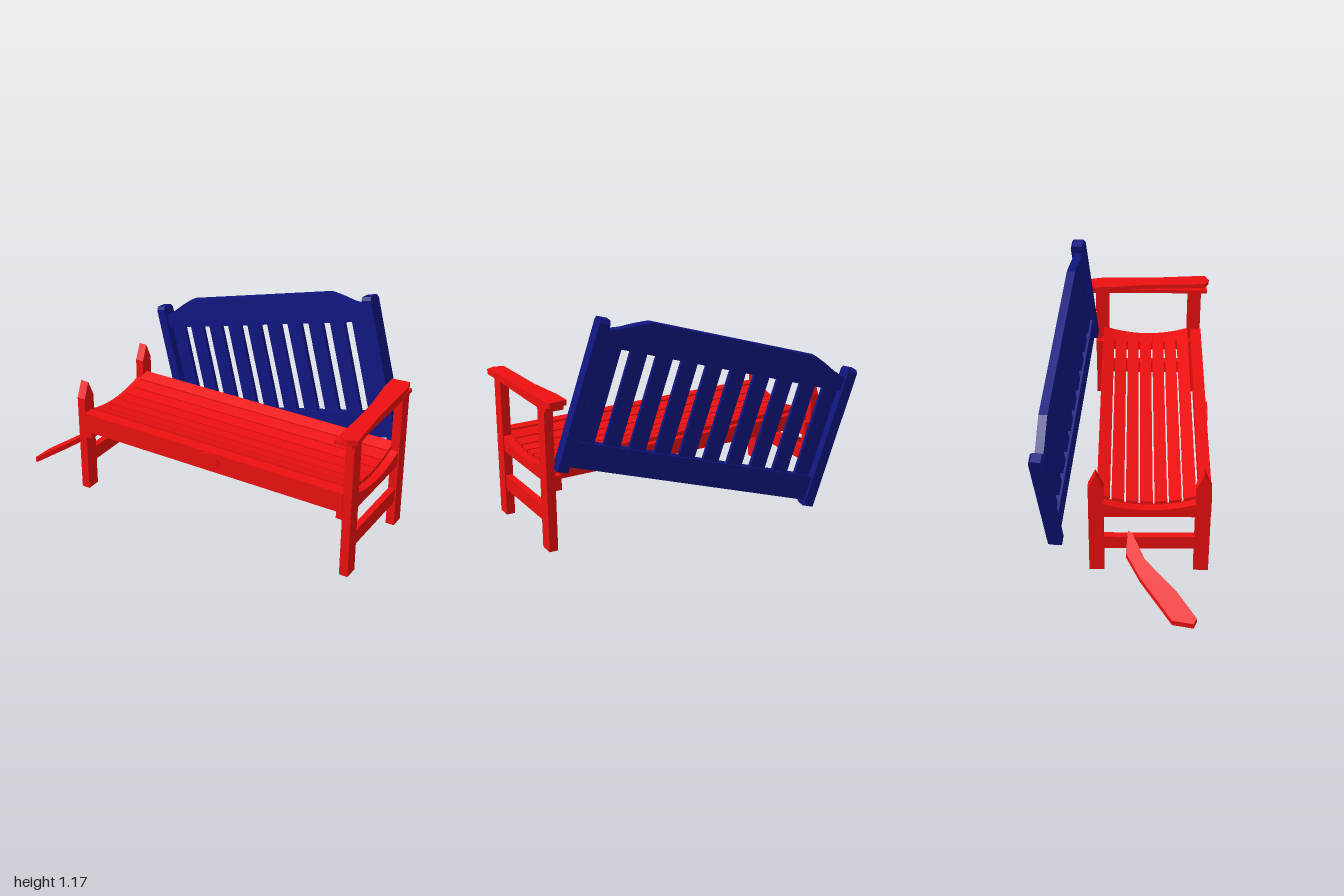
import * as THREE from 'three';

const red = new THREE.MeshStandardMaterial({ color: 0xee1010 });
const blue = new THREE.MeshStandardMaterial({ color: 0x10157f });

function add(parent, name, geometry, material) {
  const mesh = new THREE.Mesh(geometry, material);
  mesh.name = name;
  parent.add(mesh);
  return mesh;
}

// Box given by its two extremes on each axis
function box(parent, name, [x0, x1], [y0, y1], [z0, z1], material = red) {
  const g = new THREE.BoxGeometry(x1 - x0, y1 - y0, z1 - z0);
  g.translate((x0 + x1) / 2, (y0 + y1) / 2, (z0 + z1) / 2);
  return add(parent, name, g, material);
}

function extrude(points, depth) {
  const shape = new THREE.Shape(points.map(([a, b]) => new THREE.Vector2(a, b)));
  return new THREE.ExtrudeGeometry(shape, { depth, bevelEnabled: false });
}

// Outline in (z, y), extruded along x from x0 to x1
function sideProfile(points, x0, x1) {
  const g = extrude(points.map(([z, y]) => [-z, y]), x1 - x0);
  return g.rotateY(Math.PI / 2).translate(x0, 0, 0);
}

// Outline in (x, z), extruded up from y0 to y1
function plank(points, y0, y1) {
  const g = extrude(points.map(([x, z]) => [x, -z]), y1 - y0);
  return g.rotateX(-Math.PI / 2).translate(0, y0, 0);
}

// Dished top of the seat
const seatTop = (z) => 0.43 + 0.037 * ((z - 0.125) / 0.225) ** 2;

function buildSeat() {
  const seat = new THREE.Group();
  seat.name = 'seat';
  for (let i = 0; i < 7; i++) {
    const z0 = -0.132 + i * 0.0705, z1 = z0 + 0.062;
    const y0 = seatTop(z0), y1 = seatTop(z1);
    add(seat, 'seatSlat', sideProfile(
      [[z0, y0], [z1, y1], [z1, y1 - 0.02], [z0, y0 - 0.02]], -0.565, 0.925), red);
  }
  box(seat, 'frontApron', [-0.565, 0.925], [0.365, 0.47], [0.37, 0.43]);
  box(seat, 'backApron', [-0.565, 0.925], [0.365, 0.445], [-0.135, -0.1]);

  // Oval plate on the apron
  const plate = new THREE.CylinderGeometry(1, 1, 0.01, 24).rotateX(Math.PI / 2);
  plate.scale(0.065, 0.045, 1).translate(0.185, 0.42, 0.433);
  add(seat, 'ovalPlate', plate, red);
  return seat;
}

function buildEnd(name, x0, x1, railX, bracketX, broken) {
  const end = new THREE.Group();
  end.name = name;
  for (const [z0, z1] of [[0.35, 0.425], [-0.175, -0.1]]) {
    const zm = (z0 + z1) / 2;
    if (broken) { // snapped to a point
      add(end, 'brokenLeg', sideProfile(
        [[z0, 0.015], [z1, 0.015], [z1, 0.55], [zm, 0.635], [z0, 0.55]], x0, x1), red);
    } else {
      box(end, 'leg', [x0, x1], [0.015, 0.738], [z0, z1]);
    }
    box(end, 'bracket', bracketX, [0.325, 0.4], [z0, z1]);
  }
  box(end, 'stretcher', [x0 + 0.006, x1 - 0.006], [0.155, 0.232], [-0.1, 0.35]);

  // Rail with a dished top under the slats
  const top = [];
  for (let i = 0; i <= 12; i++) {
    const z = -0.1 + 0.45 * i / 12;
    top.push([z, seatTop(z) - 0.021]);
  }
  add(end, 'sideRail', sideProfile([[0.35, 0.365], [-0.1, 0.365], ...top], ...railX), red);
  return end;
}

function buildBackrest() {
  const back = new THREE.Group();
  back.name = 'backrest';
  const W = 1.39;

  // Stiles with chamfered tops and bottoms
  const d = 0.037, c = 0.012;
  for (const u of [0, W]) {
    add(back, 'stile', sideProfile([
      [-d, 0.005], [-d + c, 0], [d - c, 0], [d, 0.005],
      [d, 0.745], [d - c, 0.762], [-d + c, 0.762], [-d, 0.745],
    ], u - 0.027, u + 0.027), blue);
  }

  // Shaped crest rail, mirrored about the middle
  const left = [[0.02, 0.637], [0.02, 0.71], [0.1, 0.735], [0.165, 0.765], [0.23, 0.79]];
  const right = left.map(([u, v]) => [W - u, v]).reverse();
  add(back, 'crestRail', extrude([...left, ...right], 0.044).translate(0, 0, -0.022), blue);
  box(back, 'bottomRail', [0.02, W - 0.02], [0.03, 0.16], [-0.022, 0.022], blue);
  for (let i = 0; i < 10; i++) {
    const u = W / 2 + (i - 4.5) * 0.136;
    box(back, 'backSlat', [u - 0.043, u + 0.043], [0.15, 0.65], [-0.01, 0.01], blue);
  }

  // Detached and tilted behind the seat
  const U = new THREE.Vector3(1.32, 0.41, 0.155).normalize();
  const V = new THREE.Vector3(-0.195, 0.72, -0.055);
  V.addScaledVector(U, -V.dot(U)).normalize();
  const N = new THREE.Vector3().crossVectors(U, V);
  back.quaternion.setFromRotationMatrix(new THREE.Matrix4().makeBasis(U, V, N));
  back.position.set(-0.41, 0.026, -0.355);
  return back;
}

function buildArmrests(root) {
  add(root, 'armrest', plank([
    [0.865, -0.2], [0.955, -0.21], [0.97, -0.15], [0.977, 0.19], [0.997, 0.445],
    [0.95, 0.468], [0.905, 0.445], [0.893, 0.1], [0.867, -0.1],
  ], 0.755, 0.782), red);
  box(root, 'armrestSupport', [0.88, 0.972], [0.736, 0.756], [-0.2, 0.455]);

  // Fallen armrest, sloping down to the ground
  const g = plank([
    [-0.59, 0.02], [-0.69, 0.01], [-0.8, 0.08], [-0.985, 0.235], [-1, 0.34],
    [-0.975, 0.355], [-0.855, 0.255], [-0.72, 0.105], [-0.6, 0.04],
  ], 0.23, 0.26);
  const p = g.attributes.position;
  for (let i = 0; i < p.count; i++) p.setY(i, p.getY(i) + 0.565 * (p.getX(i) + 0.593));
  g.computeVertexNormals();
  add(root, 'fallenArmrest', g, red);
}

export function createModel() {
  const root = new THREE.Group();
  root.name = 'brokenBench';
  root.add(
    buildSeat(),
    buildEnd('leftEnd', 0.925, 0.97, [0.86, 0.965], [0.893, 0.925], false),
    buildEnd('rightEnd', -0.61, -0.565, [-0.605, -0.555], [-0.565, -0.533], true),
    buildBackrest(),
  );
  buildArmrests(root);
  return root;
}
